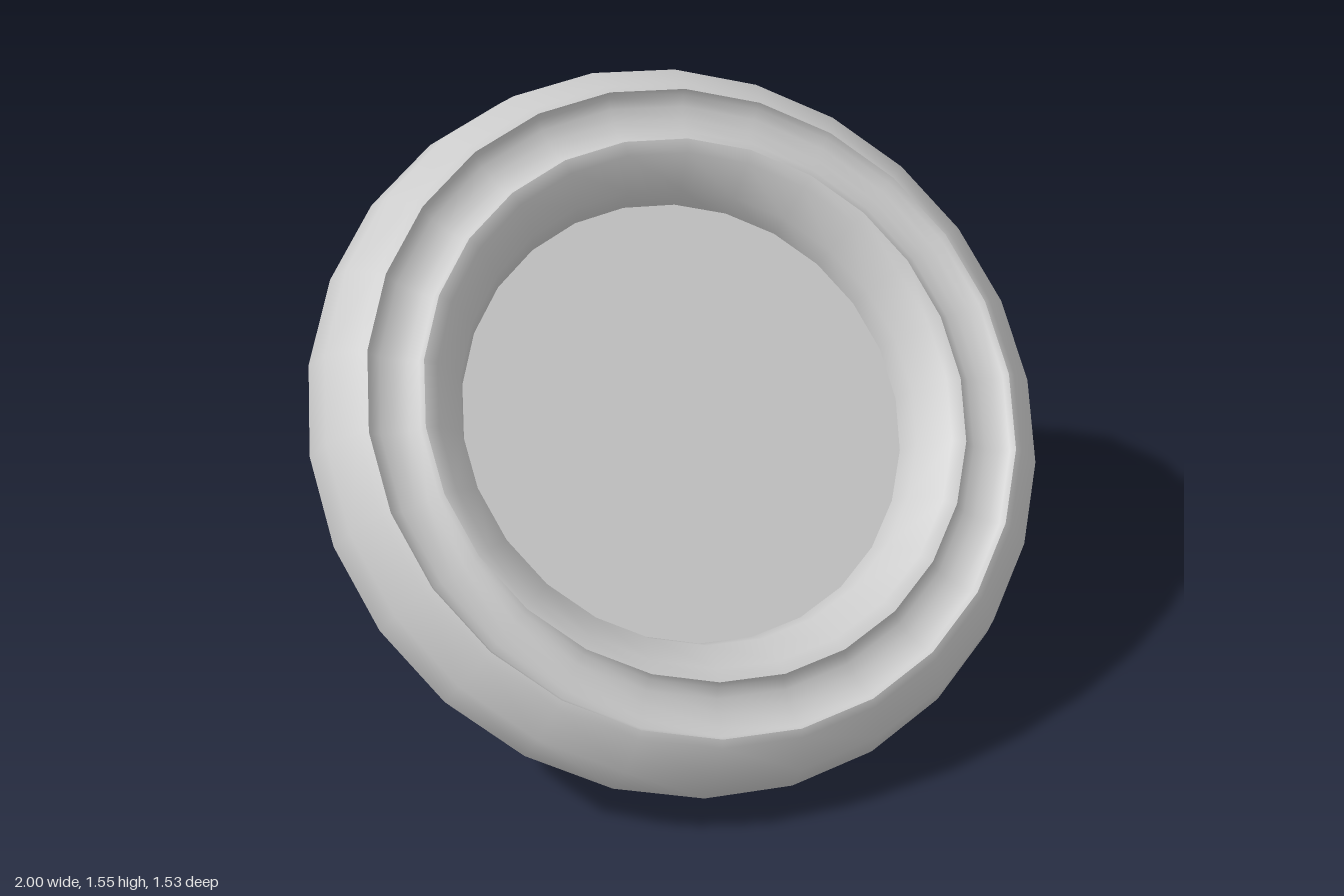
import * as THREE from 'three';

export function createModel() {
  const model = new THREE.Group();
  const material = new THREE.MeshStandardMaterial({ color: 0xcccccc, side: THREE.DoubleSide });
  const add = (parent, name, geometry) => {
    const mesh = new THREE.Mesh(geometry, material);
    mesh.name = name;
    parent.add(mesh);
    return mesh;
  };

  // Everything in the dish lies in a plane leaning back 45 degrees
  const dish = new THREE.Group();
  dish.name = 'tiltedRing';
  dish.position.y = 0.787;
  dish.rotation.x = Math.PI / 4;
  model.add(dish);

  const segments = 26, R = 0.805, r = 0.203, lip = 0.187;
  const innerLip = new THREE.Vector2(0.74, lip);
  const outerLip = new THREE.Vector2(0.885, lip);

  // Twelve-sided tube section, open at the top between the two lips
  const section = [innerLip];
  for (let i = 4; i <= 14; i++) {
    const a = i * Math.PI / 6;
    section.push(new THREE.Vector2(R + r * Math.cos(a), r * Math.sin(a)));
  }
  section.push(outerLip);
  add(dish, 'ring', new THREE.LatheGeometry(section, segments));

  // Shallow rounded channel along the front of the ring
  const channel = [];
  for (let i = 0; i <= 6; i++) {
    const a = i * Math.PI / 6;
    channel.push(new THREE.Vector2(0.8125 + 0.0725 * Math.cos(a), lip - 0.04 * Math.sin(a)));
  }
  add(dish, 'frontChannel', new THREE.LatheGeometry(channel, segments));

  // Flat panel filling the opening
  const panel = add(dish, 'panel', new THREE.CircleGeometry(0.64, 32));
  panel.rotation.x = -Math.PI / 2;
  panel.position.y = 0.03;

  // Two tapered rear legs, their tops sunk into the ring
  for (const side of [-1, 1]) {
    const leg = add(model, side > 0 ? 'leftLeg' : 'rightLeg',
      new THREE.CylinderGeometry(0.058, 0.069, 1.23, 16));
    leg.position.set(side * 0.55, 0.615, -0.563);
  }
  return model;
}
